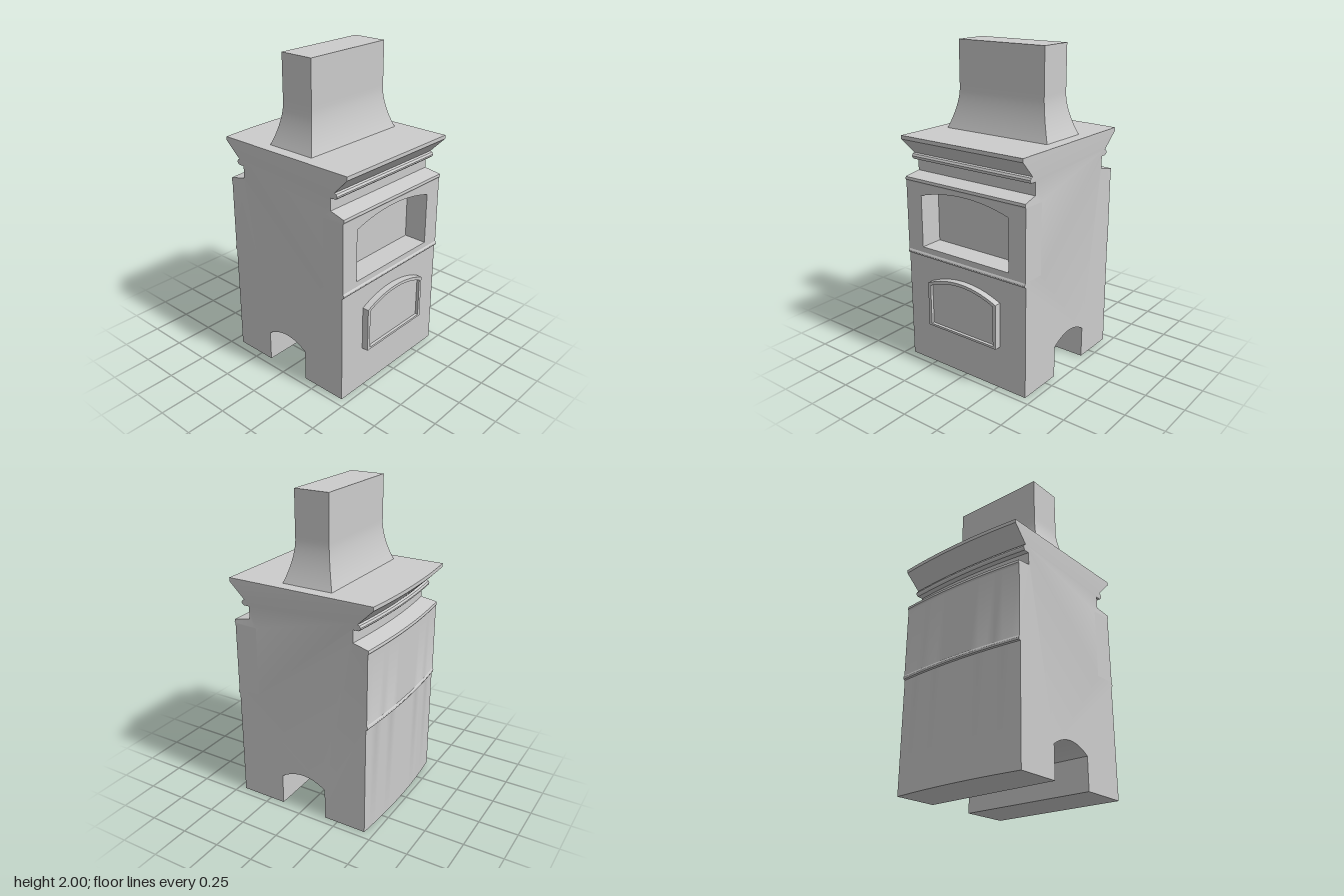
import * as THREE from 'three';
import { toCreasedNormals } from 'three/addons/utils/BufferGeometryUtils.js';

const HALF = 0.45; // half width of the stove body

// Outline with straight sides and a gently arched top
function archedOutline(Type, w, y0, y1, rise) {
  const s = new Type();
  s.moveTo(-w, y0);
  s.lineTo(w, y0);
  s.lineTo(w, y1);
  s.quadraticCurveTo(0, y1 + 2 * rise, -w, y1);
  s.closePath();
  return s;
}

// Move every vertex by a rule, then rebuild normals with sharp edges kept
function reshape(geo, rule) {
  const p = geo.attributes.position;
  const v = new THREE.Vector3();
  for (let i = 0; i < p.count; i++) {
    rule(v.fromBufferAttribute(p, i));
    p.setXYZ(i, v.x, v.y, v.z);
  }
  return toCreasedNormals(geo, 0.4);
}

export function createModel() {
  const group = new THREE.Group();
  const material = new THREE.MeshStandardMaterial({ color: 0xcccccc });
  const add = (name, geo) => {
    const mesh = new THREE.Mesh(geo, material);
    mesh.name = name;
    group.add(mesh);
  };

  // Stove body: side profile (z, y) with tunnel, bands, neck and cornice
  const profile = new THREE.Shape();
  const line = (pts) => pts.forEach(([z, y]) => profile.lineTo(z, y));
  profile.moveTo(0.455, 0);
  line([
    // front: lower wall, bead, recess for the niche wall
    [0.455, 0.705], [0.464, 0.71], [0.467, 0.72], [0.464, 0.73], [0.46, 0.735],
    [0.31, 0.735], [0.31, 1.175],
    // lip, sloping shelf, neck
    [0.46, 1.175], [0.466, 1.185], [0.464, 1.202], [0.36, 1.222], [0.36, 1.3],
    // cornice
    [0.398, 1.3], [0.408, 1.31], [0.41, 1.32], [0.403, 1.333], [0.39, 1.338],
    [0.487, 1.437], [0.487, 1.46],
    // back cornice
    [-0.475, 1.46], [-0.475, 1.437], [-0.375, 1.338], [-0.388, 1.333],
    [-0.394, 1.32], [-0.392, 1.31], [-0.382, 1.3],
    // back neck, shelf, wall and bead
    [-0.345, 1.3], [-0.345, 1.222], [-0.448, 1.202], [-0.451, 1.185],
    [-0.445, 1.175], [-0.445, 0.735], [-0.449, 0.73], [-0.452, 0.72],
    [-0.449, 0.71], [-0.44, 0.705], [-0.44, 0],
    // arched tunnel
    [-0.16, 0], [-0.16, 0.2],
  ]);
  profile.quadraticCurveTo(-0.005, 0.305, 0.152, 0.2);
  profile.lineTo(0.152, 0);
  profile.closePath();

  const body = new THREE.ExtrudeGeometry(profile, {
    depth: 2 * HALF, steps: 16, bevelEnabled: false, curveSegments: 14,
  });
  body.translate(0, 0, -HALF).rotateY(-Math.PI / 2);
  add('stoveBody', reshape(body, (v) => {
    // bowed back
    if (v.z < -0.25) v.z -= 0.024 * (1 - (v.x / HALF) ** 2);
    // neck and cornice foot slightly narrower
    if (v.y > 1.21 && v.y < 1.305) v.x *= 0.978;
    else if (v.y > 1.305 && v.y < 1.4) v.x *= 0.985;
  }));

  // Wall around the upper niche
  const wall = new THREE.Shape();
  wall.moveTo(-HALF, 0.735);
  wall.lineTo(HALF, 0.735);
  wall.lineTo(HALF, 1.175);
  wall.lineTo(-HALF, 1.175);
  wall.closePath();
  wall.holes.push(archedOutline(THREE.Path, 0.33, 0.77, 1.1, 0.05));
  const niche = new THREE.ExtrudeGeometry(wall, {
    depth: 0.15, bevelEnabled: false, curveSegments: 20,
  });
  niche.translate(0, 0, 0.31);
  add('nicheWall', reshape(niche, (v) => {
    // ceiling drops towards the back
    if (v.z < 0.4 && v.y > 1.1 && Math.abs(v.x) < 0.4) v.y = 1.1 + (v.y - 1.1) * 0.6;
  }));

  // Firebox door: raised frame and recessed panel
  const frame = archedOutline(THREE.Shape, 0.264, 0.275, 0.56, 0.06);
  frame.holes.push(archedOutline(THREE.Path, 0.243, 0.289, 0.547, 0.054));
  const frameGeo = new THREE.ExtrudeGeometry(frame, {
    depth: 0.045, bevelEnabled: false, curveSegments: 20,
  });
  frameGeo.translate(0, 0, 0.452);
  add('doorFrame', toCreasedNormals(frameGeo, 0.4));

  const panelGeo = new THREE.ExtrudeGeometry(
    archedOutline(THREE.Shape, 0.25, 0.283, 0.552, 0.055),
    { depth: 0.026, bevelEnabled: false, curveSegments: 20 },
  );
  panelGeo.translate(0, 0, 0.452);
  add('doorPanel', toCreasedNormals(panelGeo, 0.4));

  // Chimney hood: rectangular section sweeping in to a straight stack
  const T = 0.54; // share of the height that is straight stack
  const hood = new THREE.BoxGeometry(2, 0.54, 2, 1, 24, 1).toNonIndexed();
  hood.translate(0, 1.73, 0);
  add('chimneyHood', reshape(hood, (v) => {
    const t = (v.y - 1.46) / 0.54;
    const flare = Math.max(0, 1 - t / (1 - T)) ** 1.7;
    v.x *= 0.314 + 0.061 * flare;
    v.z = -0.007 + v.z * (0.112 + 0.053 * flare);
  }));

  return group;
}
